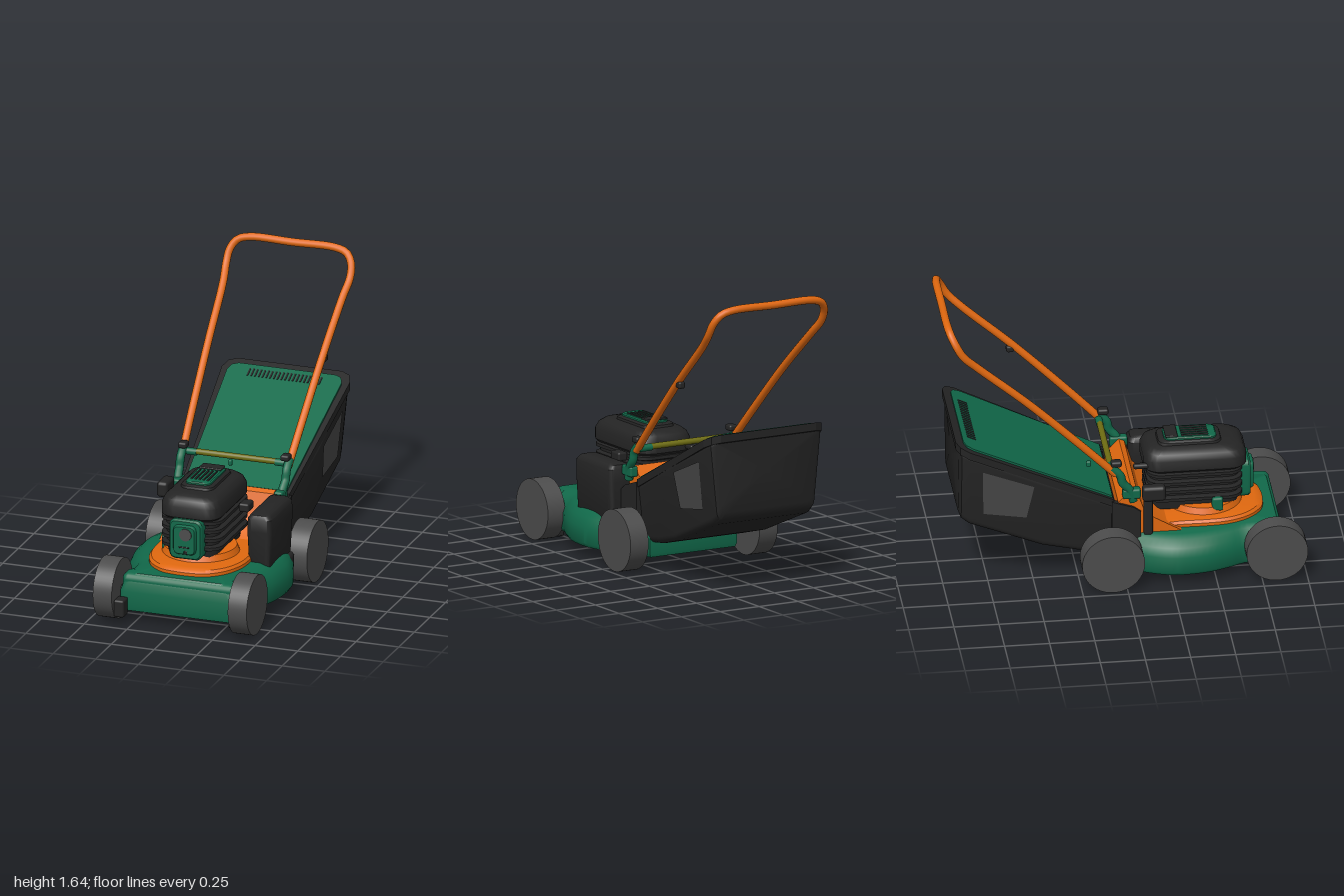
import * as THREE from 'three';
import { toCreasedNormals } from 'three/addons/utils/BufferGeometryUtils.js';
import { RoundedBoxGeometry } from 'three/addons/geometries/RoundedBoxGeometry.js';

const V = (x, y, z) => new THREE.Vector3(x, y, z);
const mat = (name, color) => Object.assign(new THREE.MeshStandardMaterial({ color }), { name });

// Closed solid through equal-length rings, capped at both ends, always facing outward
function loft(rings, crease = 0.6) {
  const n = rings[0].length, pts = rings.flat(), idx = [];
  for (let r = 0; r < rings.length - 1; r++)
    for (let i = 0; i < n; i++) {
      const a = r * n + i, b = r * n + (i + 1) % n;
      idx.push(a, b, b + n, a, b + n, a + n);
    }
  [0, rings.length - 1].forEach((r, end) => {
    const c = V(0, 0, 0);
    rings[r].forEach(p => c.addScaledVector(p, 1 / n));
    pts.push(c);
    for (let i = 0; i < n; i++) {
      const a = r * n + i, b = r * n + (i + 1) % n;
      idx.push(pts.length - 1, end ? a : b, end ? b : a);
    }
  });
  let volume = 0;
  for (let i = 0; i < idx.length; i += 3)
    volume += pts[idx[i]].dot(V(0, 0, 0).crossVectors(pts[idx[i + 1]], pts[idx[i + 2]]));
  if (volume < 0) idx.reverse();
  const g = new THREE.BufferGeometry().setFromPoints(pts);
  g.setIndex(idx);
  return toCreasedNormals(g, crease);
}

// Rounded rectangle as [u, v] pairs
function roundRect(hu, hv, r, steps = 5) {
  const out = [];
  [[1, 1], [-1, 1], [-1, -1], [1, -1]].forEach(([su, sv], q) => {
    for (let i = 0; i <= steps; i++) {
      const a = (q + i / steps) * Math.PI / 2;
      out.push([su * (hu - r) + r * Math.cos(a), sv * (hv - r) + r * Math.sin(a)]);
    }
  });
  return out;
}

// Upright rounded block; each layer is [y, half width, half depth]
const block = (cx, cz, r, layers) => loft(layers.map(([y, hx, hz]) =>
  roundRect(hx, hz, r).map(([u, v]) => V(cx + u, y, cz + v))));

// Mirrored smooth outline from [half width, z] points
function outline(points, samples) {
  const half = new THREE.SplineCurve(points.map(p => new THREE.Vector2(...p))).getPoints(samples);
  return [...half.map(p => [p.x, p.y]), ...half.reverse().map(p => [-p.x, p.y])];
}

export function createModel() {
  const green = mat('green', 0x11694a), orange = mat('orange', 0xe0680f), black = mat('black', 0x242424),
    grey = mat('wheel grey', 0x4c4c4c), olive = mat('olive', 0x6e6c12), mesh = mat('window grey', 0x484848);
  mesh.side = THREE.DoubleSide;
  const model = new THREE.Group();
  model.name = 'lawnMower';
  const add = (name, geo, material, x = 0, y = 0, z = 0) => {
    const m = new THREE.Mesh(geo, material);
    m.name = name;
    m.position.set(x, y, z);
    model.add(m);
    return m;
  };
  const box = (name, m, w, h, d, x, y, z, r = 0.012) =>
    add(name, new RoundedBoxGeometry(w, h, d, 2, Math.min(r, w / 2.1, h / 2.1, d / 2.1)), m, x, y, z);
  const tube = (name, m, pts, r, seg = 24) =>
    add(name, new THREE.TubeGeometry(new THREE.CatmullRomCurve3(pts), seg, r, 12), m);
  const rod = (name, m, r, len, x, y, z) => {
    const g = new THREE.CylinderGeometry(r, r, len, 48);
    g.rotateZ(Math.PI / 2);
    return add(name, g, m, x, y, z);
  };

  // Wheels and axles
  for (const s of [-1, 1]) {
    rod('frontWheel', grey, 0.17, 0.11, s * 0.395, 0.178, 0.83);
    rod('rearWheel', grey, 0.174, 0.115, s * 0.415, 0.178, -0.08);
  }
  rod('frontAxle', black, 0.02, 0.7, 0, 0.178, 0.83);
  rod('rearAxle', black, 0.025, 0.76, 0, 0.178, -0.08);

  // Deck: mirrored outline swept up and drawn in toward the top
  const deckLine = [[0.3, 0.885], [0.335, 0.87], [0.345, 0.78], [0.35, 0.67], [0.39, 0.58], [0.43, 0.47],
    [0.448, 0.35], [0.445, 0.25], [0.41, 0.14], [0.35, 0.03], [0.31, -0.05], [0.28, -0.14]];
  const deckRing = outline(deckLine, 36);
  add('deck', loft([[0.07, 0.97], [0.09, 1], [0.18, 1], [0.23, 0.95], [0.265, 0.87], [0.282, 0.78]].map(([y, s]) =>
    deckRing.map(([x, z]) => V(x * s, y, 0.4 + (z - 0.4) * (1 - (1 - s) * 0.3))))), green);
  box('deckFrontLip', green, 0.66, 0.2, 0.12, 0, 0.18, 0.815, 0.035);
  box('frontBumperPeg', black, 0.06, 0.1, 0.08, -0.315, 0.1, 0.92);
  box('frontFoot', black, 0.055, 0.06, 0.08, 0.31, 0.05, 0.8);

  // Orange cover around the engine
  const coverRing = outline([[0.03, 0.8], [0.13, 0.78], [0.22, 0.7], [0.27, 0.58], [0.28, 0.45], [0.28, 0.3],
    [0.3, 0.15], [0.31, 0.02]], 28);
  add('cover', loft([[0.25, 1], [0.3, 1], [0.315, 0.96], [0.32, 0.88]].map(([y, s]) =>
    coverRing.map(([x, z]) => V(x * s, y, 0.4 + (z - 0.4) * s)))), orange);
  const coverBase = new THREE.CylinderGeometry(0.2, 0.22, 0.05, 40);
  add('engineBase', coverBase, orange, -0.01, 0.33, 0.47);
  // Raised rear housing, drawn as a side profile
  const profile = [[0.32, 0.28], [0.2, 0.34], [0.11, 0.42], [0.07, 0.54], [0.04, 0.555], [-0.035, 0.48], [-0.05, 0.28]];
  add('rearHousing', loft([-0.31, 0.27].map(x => profile.map(([z, y]) => V(x, y, z))), 0.5), orange);

  // Engine: base, fins, hood
  const ex = -0.01;
  add('engineBody', block(ex, 0.41, 0.07, [[0.33, 0.14, 0.24], [0.4, 0.15, 0.25], [0.58, 0.155, 0.25]]), black);
  for (let i = 0; i < 4; i++) {
    const y = 0.385 + i * 0.05;
    add('engineFin', block(ex, 0.41, 0.08, [[y, 0.155, 0.25], [y + 0.008, 0.178, 0.265], [y + 0.026, 0.178, 0.265],
      [y + 0.034, 0.155, 0.25]]), black);
  }
  add('engineHood', block(ex, 0.415, 0.09, [[0.565, 0.16, 0.27], [0.58, 0.172, 0.285], [0.64, 0.172, 0.285],
    [0.675, 0.158, 0.27], [0.695, 0.135, 0.245], [0.702, 0.1, 0.21]]), black);
  add('starterRim', block(ex, 0.39, 0.05, [[0.69, 0.1, 0.18], [0.715, 0.095, 0.172], [0.722, 0.085, 0.16]]), black);
  add('starterPlate', block(ex, 0.395, 0.035, [[0.7, 0.075, 0.147], [0.73, 0.073, 0.145], [0.736, 0.066, 0.138]]), green);
  box('starterTop', black, 0.13, 0.012, 0.07, ex, 0.74, 0.29, 0.005);
  for (let i = 0; i < 5; i++)
    box('starterSlat', black, 0.012, 0.008, 0.15, ex - 0.048 + i * 0.024, 0.737, 0.42, 0.003);
  box('pullGrip', black, 0.035, 0.03, 0.1, -0.13, 0.6, 0.12);
  box('fuelCap', black, 0.06, 0.05, 0.09, 0.2, 0.55, 0.32);
  box('throttleHousing', green, 0.06, 0.08, 0.06, -0.18, 0.37, 0.53);

  // Exhaust guard on the engine front
  const guard = (hx, hy, cy, r, z0, z1) => loft([[z0, 1], [z1 - 0.012, 1], [z1, 0.92]].map(([z, s]) =>
    roundRect(hx * s, hy * s, r * s).map(([u, v]) => V(ex + u, cy + v, z))));
  add('exhaustGuard', guard(0.095, 0.115, 0.462, 0.035, 0.64, 0.725), green);
  add('exhaustGuardFace', guard(0.066, 0.085, 0.465, 0.03, 0.7, 0.745), green);
  const disc = new THREE.CylinderGeometry(0.035, 0.035, 0.01, 32);
  disc.rotateX(Math.PI / 2);
  add('exhaustDisc', disc, grey, ex + 0.01, 0.5, 0.746);
  box('exhaustSlot', black, 0.06, 0.008, 0.008, ex, 0.425, 0.744, 0.003);
  box('exhaustSlot', black, 0.02, 0.02, 0.008, ex + 0.01, 0.395, 0.744, 0.003);

  // Side discharge box and left lever
  add('sideBox', block(0.325, 0.28, 0.03, [[0.225, 0.055, 0.175], [0.24, 0.062, 0.185], [0.46, 0.072, 0.19],
    [0.53, 0.07, 0.188], [0.552, 0.055, 0.175], [0.56, 0.035, 0.15]]), black);
  box('sideChute', black, 0.1, 0.11, 0.2, 0.36, 0.185, 0.2, 0.03);
  box('heightLever', black, 0.065, 0.09, 0.13, -0.33, 0.54, 0.16, 0.02);
  box('heightLeverArm', black, 0.03, 0.25, 0.05, -0.32, 0.4, 0.13);

  // Grass bag: rounded sections [z, bottom, half width]
  const slope = z => 0.5 + (-z - 0.06) * 0.475;
  const lean = t => 0.87 + 0.13 * t;
  const sections = [[-0.05, 0.14, 0.31], [-0.25, 0.17, 0.33], [-0.45, 0.225, 0.35], [-0.86, 0.395, 0.365],
    [-0.905, 0.43, 0.355], [-0.92, 0.47, 0.33]];
  add('grassBag', loft(sections.map(([z, yb, w]) => {
    const yt = slope(z) - 0.02, h = (yt - yb) / 2;
    return roundRect(w, h, 0.04).map(([u, v]) => V(u * lean((v / h + 1) / 2), yb + h + v, z));
  })), black);
  for (const s of [-1, 1]) {
    // Front cheek of the bag
    const cheek = [[0.09, 0.14], [0.09, 0.42], [0.05, 0.45], [-0.07, 0.49], [-0.07, 0.14]];
    add('bagCheek', loft([0.29, 0.325].map(x => cheek.map(([z, y]) => V(s * x, y, z))), 0.4), black);
    // Side window laid on the bag wall
    const corners = [[-0.505, 0.63], [-0.79, 0.745], [-0.785, 0.47], [-0.545, 0.43]].map(([z, y]) => {
      const k = (-z - 0.45) / 0.41, yb = 0.225 + 0.17 * k;
      return V(s * ((0.35 + 0.015 * k) * lean((y - yb) / (slope(z) - 0.02 - yb)) + 0.006), y, z);
    });
    const g = new THREE.BufferGeometry().setFromPoints(corners);
    g.setIndex(s > 0 ? [0, 2, 1, 0, 3, 2] : [0, 1, 2, 0, 2, 3]);
    g.computeVertexNormals();
    add('bagWindow', g, mesh);
  }
  // Sloping slabs on the bag top
  const slab = (pts, lo, hi) => loft([lo, hi].map(o => pts.map(([x, z]) => V(x, slope(z) + o, z))), 0.4);
  const lidLine = (w0, w1, z0, z1, c) => [[w0, z0], [w1, z1 + c], [w1 - c * 0.3, z1 + c * 0.3], [w1 - c, z1],
    [c - w1, z1], [c * 0.3 - w1, z1 + c * 0.3], [-w1, z1 + c], [-w0, z0]];
  add('bagRim', slab(lidLine(0.315, 0.375, -0.06, -0.935, 0.07), -0.045, 0), black);
  add('bagLid', slab(lidLine(0.295, 0.335, -0.065, -0.89, 0.05), -0.01, 0.012), green);
  for (let i = 0; i < 20; i++) {
    const x = -0.21 + i * 0.022;
    add('lidVent', slab([[x, -0.81], [x + 0.009, -0.81], [x + 0.009, -0.86], [x, -0.86]], 0.01, 0.015), black);
  }
  box('lidCatch', green, 0.02, 0.035, 0.03, -0.07, 0.6, -0.17);

  // Handle: one bent tube
  const side = [[0.31, 0.66, -0.05], [0.32, 0.85, -0.235], [0.335, 1.15, -0.54], [0.35, 1.4, -0.82],
    [0.362, 1.48, -0.9], [0.355, 1.55, -0.94], [0.32, 1.6, -0.965], [0.25, 1.62, -0.975]];
  tube('handle', orange, [...side.map(p => V(-p[0], p[1], p[2])), V(0, 1.62, -0.975),
    ...side.reverse().map(p => V(...p))], 0.022, 120);
  box('cableClip', black, 0.04, 0.04, 0.045, 0.335, 1.13, -0.555);

  // Handle brackets, knobs and cross bar
  for (const s of [-1, 1]) {
    tube('handleBracket', green, [V(s * 0.3, 0.48, 0.05), V(s * 0.305, 0.55, 0.03), V(s * 0.31, 0.6, -0.01),
      V(s * 0.31, 0.65, -0.025), V(s * 0.31, 0.7, -0.075)], 0.024);
    box('bracketFoot', green, 0.05, 0.06, 0.1, s * 0.3, 0.53, 0.04);
    box('handleKnob', black, 0.05, 0.035, 0.06, s * 0.3, 0.72, -0.045);
    rod('barEnd', green, 0.02, 0.08, s * 0.27, 0.675, -0.07);
  }
  rod('crossBar', olive, 0.017, 0.5, 0, 0.678, -0.07);
  return model;
}
